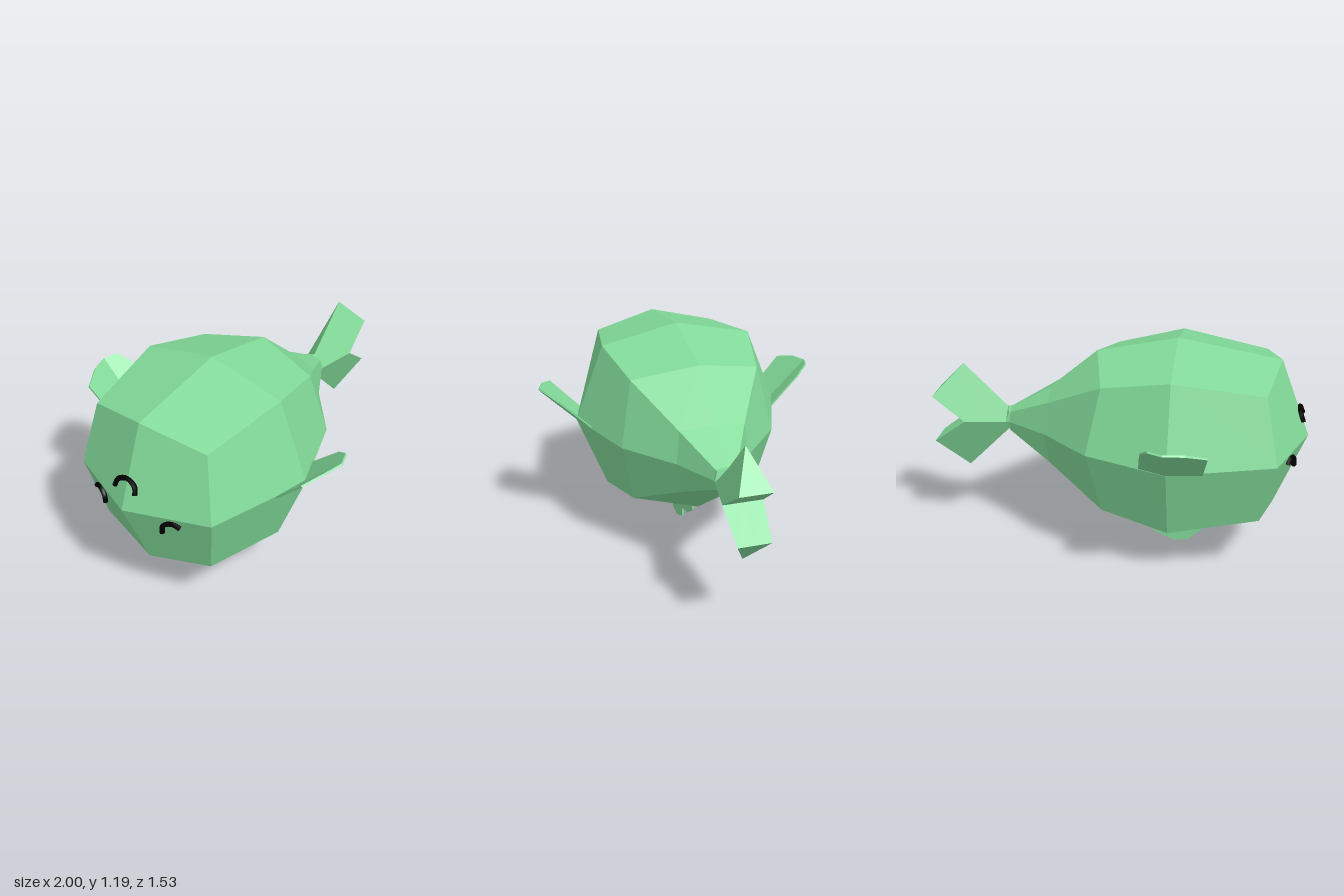
import * as THREE from 'three';

const MID = 0.69; // height of the body axis

const green = new THREE.MeshStandardMaterial({ color: 0x82da99 });
green.name = 'bodyGreen';
const black = new THREE.MeshStandardMaterial({ color: 0x000000, side: THREE.DoubleSide });
black.name = 'markBlack';

// Flat polygons, each with one normal for its whole face
function facets(polygons) {
  const positions = [], normals = [];
  for (const poly of polygons) {
    const pts = poly.map((p) => new THREE.Vector3(...p));
    const n = new THREE.Vector3();
    pts.forEach((p, i) => n.add(p.clone().cross(pts[(i + 1) % pts.length])));
    n.normalize();
    for (let i = 1; i < pts.length - 1; i++) {
      for (const p of [pts[0], pts[i], pts[i + 1]]) {
        positions.push(p.x, p.y, p.z);
        normals.push(n.x, n.y, n.z);
      }
    }
  }
  const g = new THREE.BufferGeometry();
  g.setAttribute('position', new THREE.Float32BufferAttribute(positions, 3));
  g.setAttribute('normal', new THREE.Float32BufferAttribute(normals, 3));
  return g.translate(0, MID, 0);
}

// Eight-sided body: the four corners sit at a different x than the side points
function bodyGeometry() {
  const rows = [ // side x, side radius, corner x, corner offset, top radius
    [-0.84, 0.41, -0.77, 0.34, 0.41],
    [-0.31, 0.568, -0.31, 0.41, 0.5],
    [0.11, 0.41, 0.04, 0.34, 0.41],
    [0.365, 0.19, 0.345, 0.17, 0.19],
    [0.58, 0.065, 0.575, 0.055, 0.065],
    [0.6, 0.066, 0.585, 0.05, 0.066],
  ];
  const rings = rows.map(([xs, r, xc, c, top]) => [
    [xs, top, 0], [xc, c, c], [xs, 0, r], [xc, -c, c],
    [xs, -r, 0], [xc, -c, -c], [xs, 0, -r], [xc, c, -c],
  ]);
  const faces = [];
  for (let j = 0; j < 8; j++) {
    const k = (j + 1) % 8;
    // four quads meet at the nose tip
    if (j % 2 === 0) faces.push([[-1, 0, 0], rings[0][(j + 2) % 8], rings[0][k], rings[0][j]]);
    for (let i = 0; i < rings.length - 1; i++) {
      faces.push([rings[i][j], rings[i][k], rings[i + 1][k], rings[i + 1][j]]);
    }
  }
  return facets(faces);
}

// Forked tail: one quarter, mirrored up/down and side to side
function tailGeometry() {
  const A = [0.6, 0.066, 0], B = [0.6, 0, 0.066], C = [0.585, 0.05, 0.05];
  const P = [0.833, 0.3, 0], E = [0.995, 0.13, 0.083], E0 = [0.995, 0.13, 0];
  const N = [0.82, 0, 0.1], N0 = [0.82, 0, 0];
  const quarter = [[A, B, N, E, P], [P, E, E0], [E0, E, N, N0], [A, C, B]];
  const faces = [];
  for (const sy of [1, -1]) for (const sz of [1, -1]) {
    for (const face of quarter) {
      const m = face.map(([x, y, z]) => [x, y * sy, z * sz]);
      faces.push(sy * sz > 0 ? m : m.reverse());
    }
  }
  return facets(faces);
}

function plate(points, depth) {
  const shape = new THREE.Shape(points.map(([x, y]) => new THREE.Vector2(x, y)));
  return new THREE.ExtrudeGeometry(shape, { depth, bevelEnabled: false });
}

// Half of a side fin: rises outward at 45 degrees, folded inward from its centre line
function finHalfGeometry(outline, fold, side) {
  const g = plate(outline, 0.01).translate(0, 0, side > 0 ? -0.01 : 0);
  const p = g.attributes.position;
  for (let i = 0; i < p.count; i++) {
    p.setZ(i, p.getZ(i) - side * fold * Math.abs(p.getX(i) + 0.31));
  }
  g.computeVertexNormals();
  return g.rotateX(side * Math.PI / 4).translate(0, MID, side * 0.567);
}

// Face stroke through (z, y) points, x given by a rule that follows the nose
function strokeGeometry(points, xAt) {
  const path = new THREE.CatmullRomCurve3(points.map(([z, y]) => new THREE.Vector3(xAt(y, z), y, z)));
  return new THREE.TubeGeometry(path, 16, 0.013, 6);
}

export function createModel() {
  const model = new THREE.Group();
  model.name = 'fish';
  const add = (name, geometry, material) => {
    const mesh = new THREE.Mesh(geometry, material);
    mesh.name = name;
    model.add(mesh);
  };

  add('body', bodyGeometry(), green);
  add('tail', tailGeometry(), green);

  // Side fins
  const rearHalf = [[-0.31, 0], [-0.17, -0.042], [-0.195, 0.19], [-0.235, 0.265], [-0.31, 0.28]];
  const frontHalf = [[-0.31, 0], [-0.31, 0.28], [-0.41, 0.253], [-0.512, 0.19], [-0.485, -0.038]];
  for (const side of [1, -1]) {
    const name = side > 0 ? 'leftFin' : 'rightFin';
    add(name + 'Rear', finHalfGeometry(rearHalf, 0.28, side), green);
    add(name + 'Front', finHalfGeometry(frontHalf, 0.15, side), green);
  }

  // Thin keel fin under the belly
  const keel = [[-0.49, 0.25], [-0.49, 0.1], [-0.39, 0.005], [-0.31, 0], [-0.2, 0.05],
    [-0.2, 0.1], [-0.1, 0.13], [0, 0.2], [0, 0.28]];
  add('bellyFin', plate(keel, 0.012).translate(0, 0, -0.01), green);

  // Mouth and closed eyes
  const mouth = [[-0.063, 0.79], [-0.052, 0.825], [0, 0.846], [0.052, 0.825], [0.063, 0.79]];
  add('mouth', strokeGeometry(mouth, (y) => -1.006 + 0.39 * (y - MID)), black);
  const eye = [[0.182, 0.6], [0.187, 0.64], [0.21, 0.66], [0.24, 0.662], [0.266, 0.645]];
  for (const side of [1, -1]) {
    const points = eye.map(([z, y]) => [side * z, y]);
    add(side > 0 ? 'leftEye' : 'rightEye', strokeGeometry(points, (y, z) => -1 + 0.39 * Math.abs(z)), black);
  }
  return model;
}
